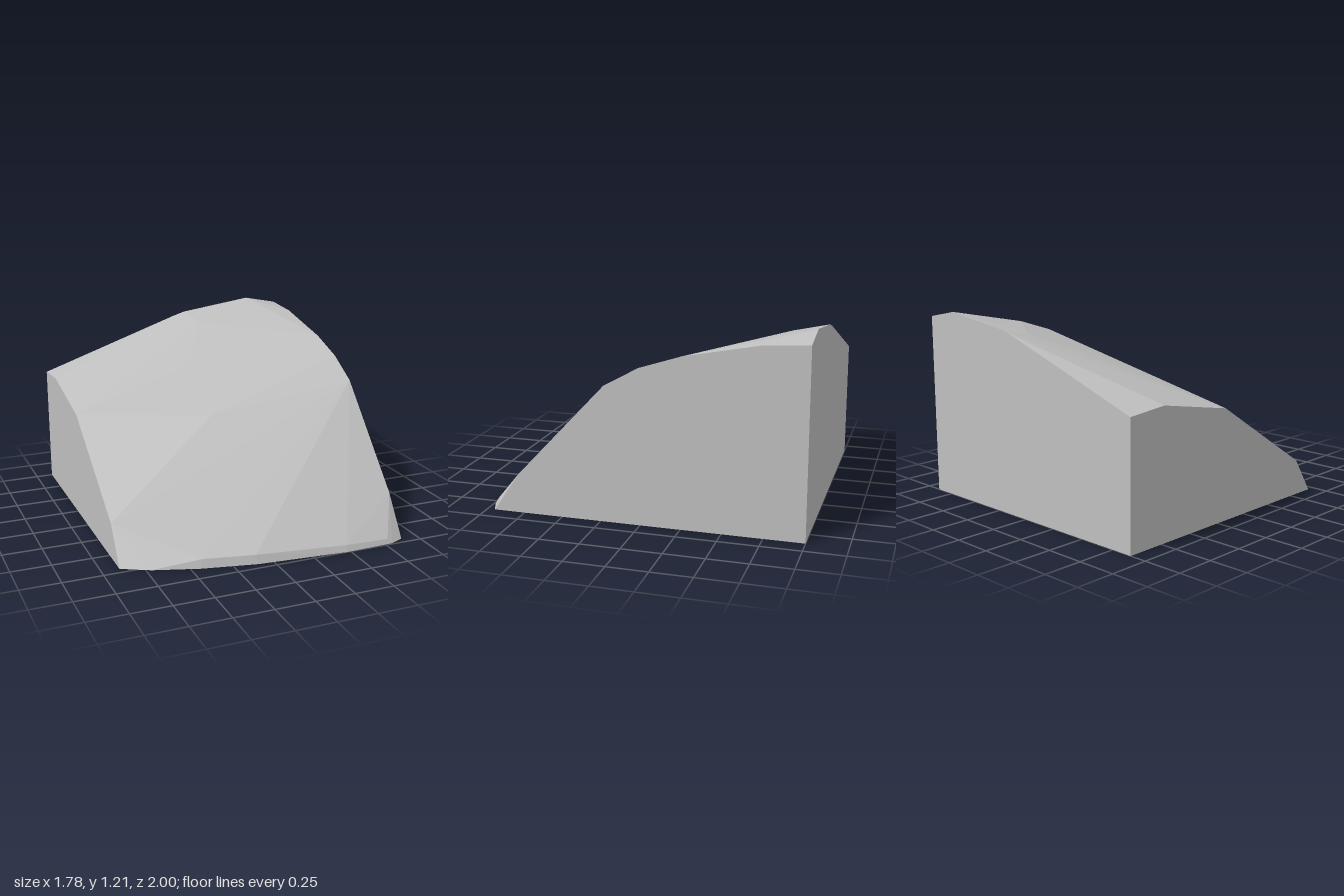
import * as THREE from 'three';
import { ConvexGeometry } from 'three/addons/geometries/ConvexGeometry.js';

export function createModel() {
  const group = new THREE.Group();
  group.name = 'facetedBlock';
  const grey = new THREE.MeshStandardMaterial({ color: 0xbfbfbf });
  grey.name = 'grey';

  const W = 0.89;
  // Side outlines as [z, y]
  const tallSide = [[-1, 0], [0.95, 0], [0.78, 0.25], [0.215, 0.85], [0, 0.97], [-0.26, 1.055], [-0.73, 1.147], [-1, 1.163]];
  const lowSide = [[-1, 0], [0.7, 0], [0.55, 0.23], [-0.19, 0.7], [-0.73, 0.805], [-1, 0.785]];
  // Crest along the flat back as [x, y]
  const backCrest = [[0.08, 1.118], [0.16, 1.142], [0.66, 1.21]];
  // Curved front rim of the base as [x, z]
  const baseRim = [[-0.72, 0.79], [-0.44, 0.88], [-0.1, 0.95], [0.48, 1], [0.8, 0.99]];
  // Bevel above the rim, and gentle peaks on the sloping top, as [x, y, z]
  const bevel = [[-0.43, 0.055, 0.867], [-0.11, 0.055, 0.933], [0.48, 0.04, 0.985], [0.77, 0.03, 0.98]];
  const peaks = [[-0.08, 0.7, 0.15], [0.2, 1.1, -0.78], [-0.05, 0.913, -0.34]];

  const points = [
    ...tallSide.map(([z, y]) => [W, y, z]),
    ...lowSide.map(([z, y]) => [-W, y, z]),
    ...backCrest.map(([x, y]) => [x, y, -1]),
    ...baseRim.map(([x, z]) => [x, 0, z]),
    ...bevel,
    ...peaks,
  ].map((p) => new THREE.Vector3(...p));

  // One solid with flat facets
  const block = new THREE.Mesh(new ConvexGeometry(points), grey);
  block.name = 'block';
  group.add(block);
  return group;
}
